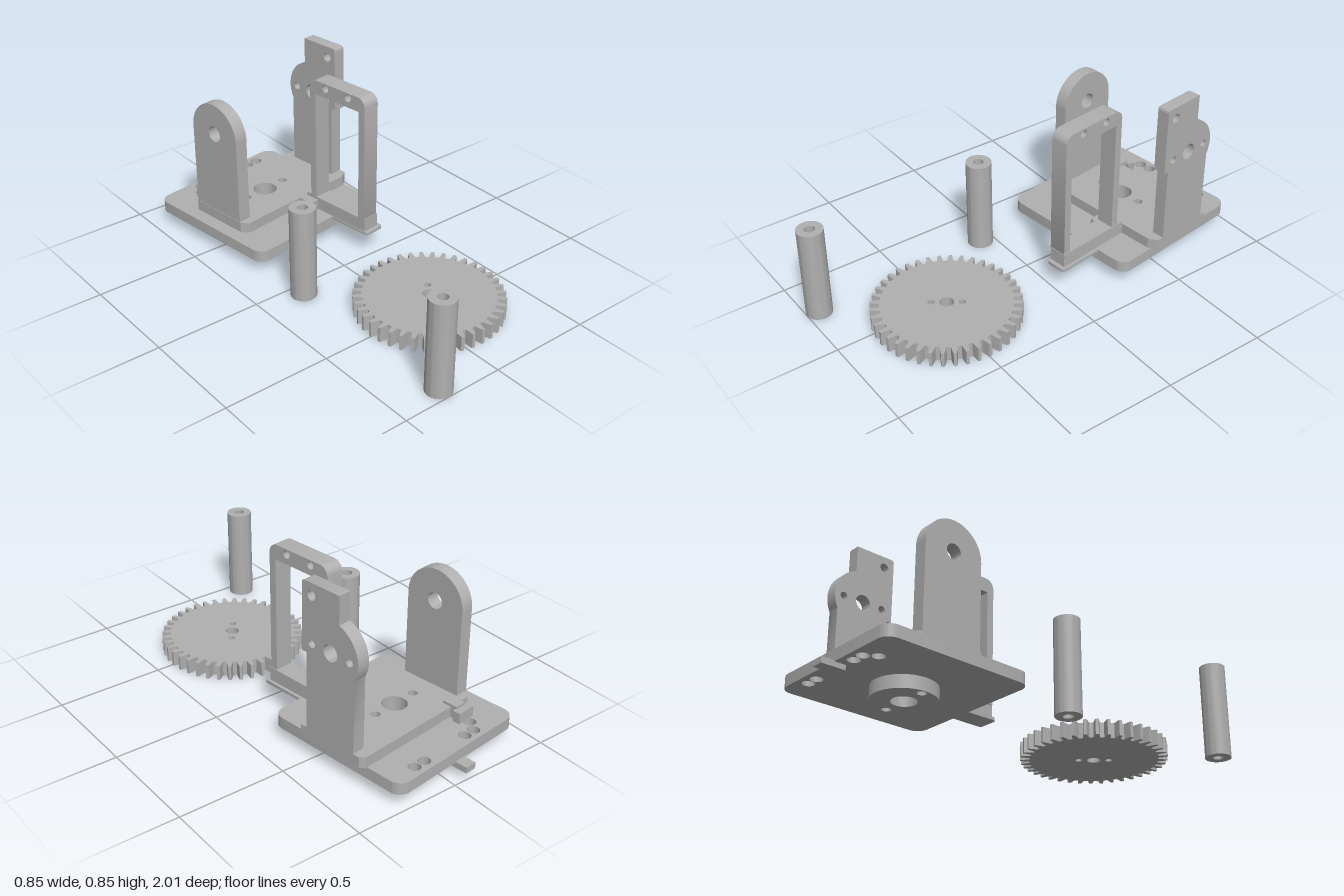
import * as THREE from 'three';
import { toCreasedNormals } from 'three/addons/utils/BufferGeometryUtils.js';

const grey = new THREE.MeshStandardMaterial({ color: 0xb0b0b0 });
grey.name = 'plain grey';

// Round hole for a shape
function hole(shape, x, y, r) {
  const p = new THREE.Path();
  p.absarc(x, y, r, 0, Math.PI * 2, true);
  shape.holes.push(p);
}

function polygon(points) {
  return new THREE.Shape(points.map(([x, y]) => new THREE.Vector2(x, y)));
}

function disc(r) {
  return new THREE.Shape().absarc(0, 0, r, 0, Math.PI * 2, false);
}

// Rectangle with a corner radius for the bottom and one for the top
function roundRect(x0, y0, x1, y1, rb, rt = rb) {
  const s = new THREE.Shape(), h = Math.PI / 2;
  s.absarc(x1 - rb, y0 + rb, rb, -h, 0, false);
  s.absarc(x1 - rt, y1 - rt, rt, 0, h, false);
  s.absarc(x0 + rt, y1 - rt, rt, h, 2 * h, false);
  s.absarc(x0 + rb, y0 + rb, rb, 2 * h, 3 * h, false);
  return s;
}

function extrude(shape, depth) {
  return new THREE.ExtrudeGeometry(shape, { depth, bevelEnabled: false, curveSegments: 24 });
}

function add(parent, name, geometry) {
  const m = new THREE.Mesh(toCreasedNormals(geometry, 0.5), grey);
  m.name = name;
  parent.add(m);
  return m;
}

// Horizontal plate: shape is drawn in (x, -z) and rises from y0 to y1
function plate(parent, name, shape, y0, y1) {
  return add(parent, name, extrude(shape, y1 - y0).rotateX(-Math.PI / 2).translate(0, y0, 0));
}

// Upright plate: shape is drawn in (z, y) and spans x0 to x1
function upright(parent, name, shape, x0, x1) {
  return add(parent, name, extrude(shape, x1 - x0).rotateY(-Math.PI / 2).translate(x1, 0, 0));
}

function box(parent, name, x0, x1, y0, y1, z0, z1) {
  return add(parent, name, new THREE.BoxGeometry(x1 - x0, y1 - y0, z1 - z0)
    .translate((x0 + x1) / 2, (y0 + y1) / 2, (z0 + z1) / 2));
}

function bearingHoles(shape) {
  hole(shape, 0, 0, 0.057);
  hole(shape, -0.118, 0, 0.021);
  hole(shape, 0.118, 0, 0.021);
  return shape;
}

function buildBracket() {
  const g = new THREE.Group();
  g.name = 'bracket';
  g.position.set(-0.03, 0, -0.58);
  g.rotation.y = 0.127;

  // Base plate, raised platform and the boss underneath
  const base = bearingHoles(roundRect(-0.365, -0.365, 0.365, 0.365, 0.055));
  for (const [x, y] of [[-0.146, 0.315], [-0.088, 0.315], [0.168, 0.315], [0.227, 0.315], [-0.182, 0.266]]) {
    hole(base, x, y, 0.028);
  }
  plate(g, 'basePlate', base, 0.06, 0.115);
  const platform = bearingHoles(polygon([
    [-0.3, -0.155], [-0.275, -0.188], [0.35, -0.188], [0.392, -0.165],
    [0.392, 0.165], [0.375, 0.185], [-0.265, 0.185], [-0.3, 0.15]]));
  plate(g, 'platform', platform, 0.115, 0.166);
  plate(g, 'boss', bearingHoles(disc(0.145)), 0, 0.06);
  box(g, 'rearTab', -0.028, 0.028, 0.037, 0.065, -0.425, -0.31);

  // Rear clip
  box(g, 'clipNeck', -0.207, -0.152, 0.115, 0.178, -0.215, -0.14);
  box(g, 'clipHead', -0.225, -0.135, 0.115, 0.166, -0.248, -0.21);

  // Round-topped arm
  const round = new THREE.Shape();
  round.moveTo(-0.148, 0.166);
  round.lineTo(0.148, 0.166);
  round.lineTo(0.148, 0.573);
  round.absarc(0, 0.573, 0.148, 0, Math.PI, false);
  hole(round, 0, 0.573, 0.038);
  upright(g, 'roundArm', round, -0.298, -0.235);

  // Stepped arm with a round shoulder at the back and a tall block in front
  const a = Math.acos(0.133 / 0.15), cy = 0.575;
  const b = Math.acos(-0.046 / 0.15);
  const arm = new THREE.Shape();
  arm.moveTo(-0.133, 0.166);
  arm.lineTo(0.133, 0.166);
  arm.lineTo(0.133, 0.525);
  arm.lineTo(0.157, 0.525);
  arm.lineTo(0.157, 0.83);
  arm.quadraticCurveTo(0.157, 0.845, 0.142, 0.845);
  arm.lineTo(-0.046, 0.845);
  arm.absarc(0, cy, 0.15, b, Math.PI + a, false);
  hole(arm, 0, cy, 0.038);
  hole(arm, -0.103, cy, 0.018);
  hole(arm, 0.103, cy, 0.018);
  hole(arm, 0.106, 0.79, 0.022);
  upright(g, 'steppedArm', arm, 0.332, 0.392);

  // Open frame standing on its foot
  const frame = roundRect(0.222, 0.17, 0.567, 0.795, 0.002, 0.045);
  frame.holes.push(new THREE.Path([[0.258, 0.18], [0.258, 0.725], [0.531, 0.725], [0.531, 0.18]]
    .map(([x, y]) => new THREE.Vector2(x, y))));
  hole(frame, 0.323, 0.77, 0.018);
  hole(frame, 0.463, 0.77, 0.018);
  upright(g, 'openFrame', frame, 0.1, 0.186);
  box(g, 'frameSill', 0.104, 0.19, 0.115, 0.18, 0.19, 0.57);
  plate(g, 'frameFoot', roundRect(0.1, -0.59, 0.205, -0.2, 0.015), 0.1, 0.115);
  box(g, 'frameLink', 0.058, 0.186, 0.08, 0.164, 0.175, 0.262);
  return g;
}

// Spur gear
function buildGear() {
  const teeth = 40, root = 0.297, tip = 0.339, pts = [];
  for (let i = 0; i < teeth; i++) {
    for (const [f, r] of [[-0.3, root], [-0.22, 0.318], [-0.13, tip], [0.13, tip], [0.22, 0.318], [0.3, root]]) {
      const t = (i + f) / teeth * Math.PI * 2;
      pts.push([r * Math.cos(t), r * Math.sin(t)]);
    }
  }
  const s = polygon(pts);
  hole(s, 0, 0, 0.032);
  hole(s, 0.04, 0.056, 0.016);
  hole(s, -0.04, -0.056, 0.016);
  const g = new THREE.Group();
  plate(g, 'gear', s, 0, 0.072);
  g.name = 'gearWheel';
  g.position.set(0.08, 0, 0.495);
  return g;
}

export function createModel() {
  const model = new THREE.Group();
  model.name = 'servoMountParts';
  model.add(buildBracket(), buildGear());

  // Hollow posts
  for (const [x, z] of [[-0.286, 0.067], [-0.275, 0.94]]) {
    const s = disc(0.06);
    hole(s, 0, 0, 0.024);
    plate(model, 'post', s, 0, 0.45).position.set(x, 0, z);
  }
  return model;
}
